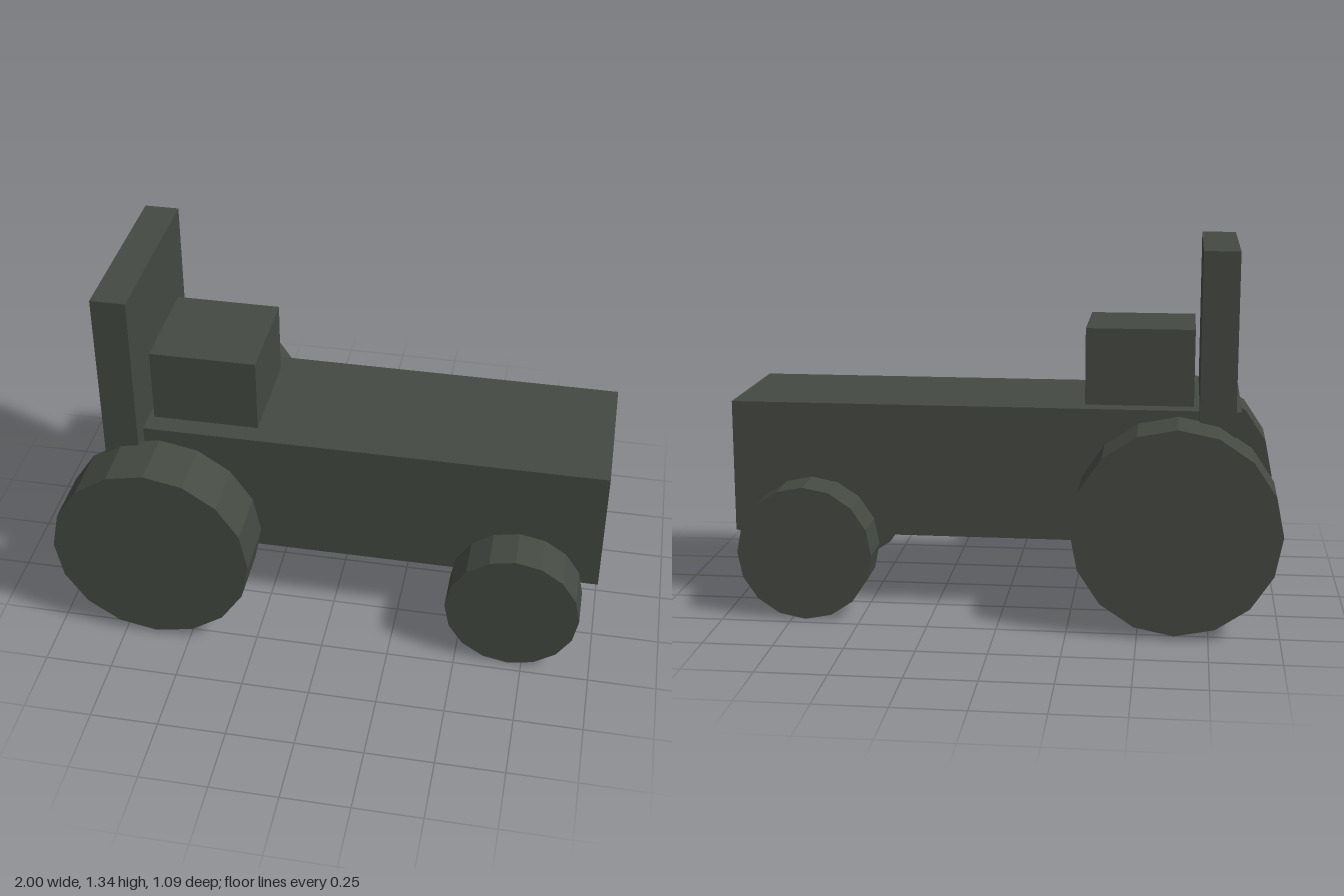
import * as THREE from 'three';

export function createModel() {
  const model = new THREE.Group();
  model.name = 'tractor';
  const paint = new THREE.MeshStandardMaterial({ color: 0x444942, flatShading: true });
  paint.name = 'dark olive grey';

  // Box given by its extents in x and y and its half width in z
  function block(name, x0, x1, y0, y1, halfZ) {
    const mesh = new THREE.Mesh(new THREE.BoxGeometry(x1 - x0, y1 - y0, halfZ * 2), paint);
    mesh.position.set((x0 + x1) / 2, (y0 + y1) / 2, 0);
    mesh.name = name;
    model.add(mesh);
  }

  // Mirrored pair of sixteen-sided wheels
  function wheelPair(name, x, y, radius, z0, z1) {
    const geometry = new THREE.CylinderGeometry(radius, radius, z1 - z0, 16).rotateX(Math.PI / 2);
    for (const side of [1, -1]) {
      const wheel = new THREE.Mesh(geometry, paint);
      wheel.position.set(x, y, side * (z0 + z1) / 2);
      wheel.name = name + (side > 0 ? 'Near' : 'Far');
      model.add(wheel);
    }
  }

  block('body', -0.855, 1, 0.275, 0.765, 0.276);
  block('seatBlock', -0.685, -0.292, 0.765, 1.045, 0.198);
  block('backPanel', -0.833, -0.705, 0.53, 1.343, 0.346);

  wheelPair('rearWheel', -0.631, 0.385, 0.369, 0.322, 0.545);
  wheelPair('frontWheel', 0.7, 0.248, 0.246, 0.301, 0.463);

  return model;
}
